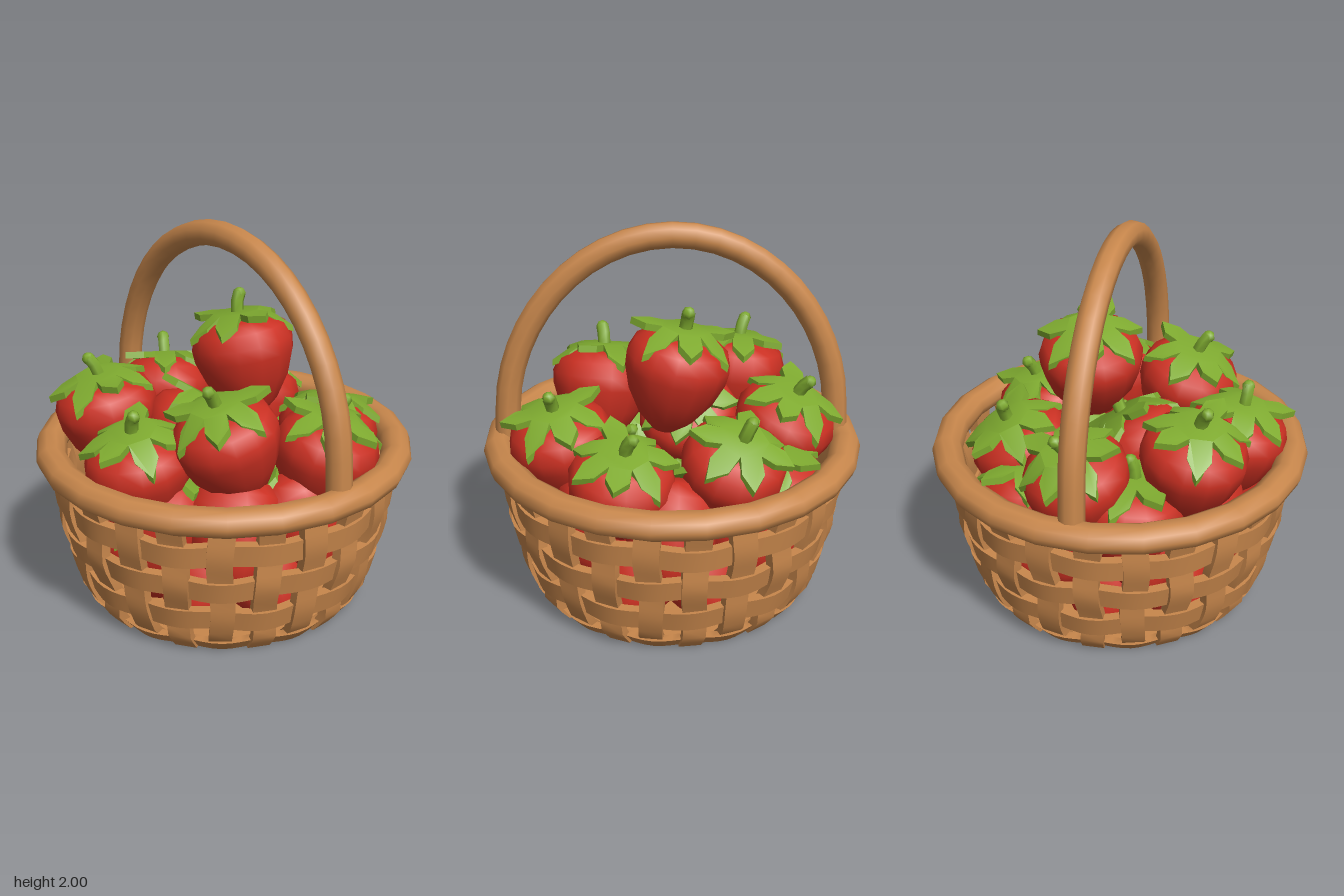
import * as THREE from 'three';
import { toCreasedNormals } from 'three/addons/utils/BufferGeometryUtils.js';

const wicker = new THREE.MeshStandardMaterial({ color: 0xc8874c });
wicker.name = 'wickerBrown';
const red = new THREE.MeshStandardMaterial({ color: 0xcc3022 });
red.name = 'berryRed';
const green = new THREE.MeshStandardMaterial({ color: 0x7fab30 });
green.name = 'leafGreen';

const STAVES = 24, AMP = 0.012, THICK = 0.052, PHASE = -0.03;
const V = (x, y, z) => new THREE.Vector3(x, y, z);

function add(parent, name, geometry, material) {
  const mesh = new THREE.Mesh(geometry, material);
  mesh.name = name;
  parent.add(mesh);
  return mesh;
}

// Radius of the basket wall at a height
const WALL = [[0, 0.68], [0.1, 0.76], [0.45, 0.845], [0.85, 0.895]];
function wallRadius(y) {
  for (let i = 1; i < WALL.length; i++) {
    const [y0, r0] = WALL[i - 1], [y1, r1] = WALL[i];
    if (y <= y1) return r0 + (r1 - r0) * (y - y0) / (y1 - y0);
  }
  return 0.895;
}

// Strip skinned over four-cornered sections
function ribbon(sections, closed) {
  const pos = [], index = [], n = sections.length;
  for (const s of sections) for (const p of s) pos.push(p.x, p.y, p.z);
  for (let i = 0; i < (closed ? n : n - 1); i++) {
    for (let j = 0; j < 4; j++) {
      const i2 = (i + 1) % n, j2 = (j + 1) % 4;
      const a = i * 4 + j, b = i2 * 4 + j, c = i2 * 4 + j2, d = i * 4 + j2;
      index.push(a, b, c, a, c, d);
    }
  }
  const g = new THREE.BufferGeometry();
  g.setAttribute('position', new THREE.Float32BufferAttribute(pos, 3));
  g.setIndex(index);
  return toCreasedNormals(g, 0.9);
}

// Horizontal woven band; the lowest one hugs the floor
function bandGeometry(row) {
  const y = row ? 0.025 + row * 0.2 : 0.035, h = row ? 0.058 : 0.035, sections = [];
  for (let i = 0; i < STAVES * 4; i++) {
    const t = i / (STAVES * 4) * Math.PI * 2;
    const off = -AMP * Math.cos(t * STAVES / 2 + Math.PI * row);
    const wave = row ? 0.008 * Math.sin(t * 7 + row * 2) : 0;
    const at = (dy, dr) => {
      const yy = y + dy + wave, r = wallRadius(yy) + off + dr;
      return V(r * Math.sin(t + PHASE), yy, r * Math.cos(t + PHASE));
    };
    sections.push([at(-h, THICK / 2), at(h, THICK / 2), at(h, -THICK / 2), at(-h, -THICK / 2)]);
  }
  return ribbon(sections, true);
}

// Upright stave woven through the bands
function staveGeometry(k) {
  const sections = [], a = THICK / 2;
  for (let i = 0; i <= 16; i++) {
    const y = i * 0.05, w = 0.057 + 0.01 * y;
    const r = wallRadius(y) + AMP * Math.cos(Math.PI * ((y - 0.025) / 0.2 + k));
    const lean = 0.008 * Math.sin(i * 0.6 + k * 2);
    sections.push([V(w + lean, y, r + a), V(-w + lean, y, r + a), V(-w + lean, y, r - a), V(w + lean, y, r - a)]);
  }
  return ribbon(sections, false);
}

// Berry body: a rounded top narrowing to a blunt tip
const berryGeometry = new THREE.LatheGeometry([
  [0, -0.31], [0.06, -0.295], [0.14, -0.225], [0.22, -0.1], [0.262, 0.02],
  [0.268, 0.09], [0.24, 0.165], [0.17, 0.215], [0.08, 0.228], [0, 0.22],
].map(([x, y]) => new THREE.Vector2(x, y)), 14);

// Leafy cap: seven broad leaves, bent up or down by their distance from the stem
function capGeometry() {
  const leaves = 7, step = Math.PI * 2 / leaves, shape = new THREE.Shape();
  for (let i = 0; i < leaves; i++) {
    const a = i * step;
    [[0.125, -0.5], [0.2, -0.34], [0.275, -0.03], [0.205, 0.32]].forEach(([r, f], j) => {
      const x = r * Math.cos(a + f * step), y = r * Math.sin(a + f * step);
      if (i + j === 0) shape.moveTo(x, y); else shape.lineTo(x, y);
    });
  }
  const g = new THREE.ExtrudeGeometry(shape, { depth: 0.035, bevelEnabled: false });
  g.rotateX(-Math.PI / 2);
  const p = g.attributes.position;
  for (let i = 0; i < p.count; i++) {
    const x = p.getX(i), z = p.getZ(i), r = Math.hypot(x, z);
    const leaf = Math.round(Math.atan2(-z, x) / step + leaves) % leaves;
    const out = Math.max(0, r - 0.125);
    p.setY(i, p.getY(i) + 0.22 - out * (0.4 + 0.4 * Math.sin(leaf * 2.3)));
  }
  return toCreasedNormals(g, 0.6);
}
const leafCap = capGeometry();
const stemGeometry = new THREE.TubeGeometry(new THREE.QuadraticBezierCurve3(
  V(0, 0.22, 0), V(0, 0.3, 0), V(0.03, 0.345, 0.01)), 3, 0.034, 6);
const stemEnd = new THREE.SphereGeometry(0.034, 6, 4).translate(0.03, 0.34, 0.01);

// One berry; its cap points along (dx, 1, dz)
function makeBerry(x, y, z, dx, dz, spin) {
  const berry = new THREE.Group();
  berry.name = 'strawberry';
  add(berry, 'berryBody', berryGeometry, red);
  add(berry, 'leafCap', leafCap, green);
  add(berry, 'stem', stemGeometry, green);
  add(berry, 'stemEnd', stemEnd, green);
  berry.position.set(x, y, z);
  berry.quaternion.setFromUnitVectors(V(0, 1, 0), V(dx, 1, dz).normalize());
  berry.rotateY(spin);
  return berry;
}

export function createModel() {
  const model = new THREE.Group();
  model.name = 'strawberryBasket';

  // Woven basket
  const basket = new THREE.Group();
  basket.name = 'basket';
  model.add(basket);
  add(basket, 'floor', new THREE.CylinderGeometry(0.73, 0.7, 0.04, 24), wicker).position.y = 0.02;
  for (let row = 0; row < 4; row++) add(basket, 'wovenBand', bandGeometry(row), wicker);
  for (let k = 0; k < STAVES; k++) {
    add(basket, 'stave', staveGeometry(k), wicker).rotation.y = k / STAVES * Math.PI * 2 + PHASE;
  }
  const rim = new THREE.TorusGeometry(0.91, 0.08, 10, 24).rotateX(Math.PI / 2).scale(1, 0.9, 1);
  add(basket, 'rim', rim, wicker).position.y = 0.825;

  // Arched handle, turned slightly across the basket
  const arch = [V(0, 0.8, 0.865)];
  for (let i = 0; i <= 12; i++) {
    const a = i / 12 * Math.PI;
    arch.push(V(0, 0.93 + 1.003 * Math.sin(a), 0.86 * Math.cos(a)));
  }
  arch.push(V(0, 0.8, -0.865));
  const handle = new THREE.TubeGeometry(new THREE.CatmullRomCurve3(arch), 28, 0.066, 9);
  add(basket, 'handle', handle, wicker).rotation.y = -0.115;

  // Berries heaped on top: x, y, z, tilt in x, tilt in z
  const berries = new THREE.Group();
  berries.name = 'strawberries';
  model.add(berries);
  [
    [0.15, 1.25, 0.01, -0.02, -0.22],
    [0.11, 0.88, -0.56, 0.25, -0.3],
    [-0.42, 0.96, -0.43, -0.15, -0.12],
    [-0.31, 0.99, 0.34, -0.28, -0.12],
    [-0.6, 0.84, 0.01, -0.2, 0],
    [0.12, 0.86, 0.58, 0.12, 0.2],
    [0.45, 0.78, 0.33, 0.28, -0.06],
    [0.45, 0.83, -0.22, 0.4, -0.2],
    [-0.16, 0.84, -0.12, 0.7, 0.2],
    [0.39, 0.66, -0.45, 0.1, 0.1],
    [-0.13, 0.69, -0.55, -0.1, 0.05],
  ].forEach(([x, y, z, dx, dz], i) => berries.add(makeBerry(x, y, z, dx, dz, i * 1.3)));

  // Two buried rings of berries, most with tips towards the wall
  for (const [y, r, start] of [[0.3, 0.46, 0.35], [0.58, 0.53, 0]]) {
    for (let i = 0; i < 9; i++) {
      const a = start + i / 9 * Math.PI * 2;
      const upright = y < 0.5 && i % 3 === 0;
      const tilt = upright ? 0.15 : y < 0.5 ? -1.3 : -0.8 + 0.3 * Math.sin(i * 2.1);
      const s = Math.sin(a), c = Math.cos(a);
      berries.add(makeBerry(r * s, upright ? 0.33 : y, r * c, tilt * s, tilt * c, i));
    }
  }
  return model;
}
